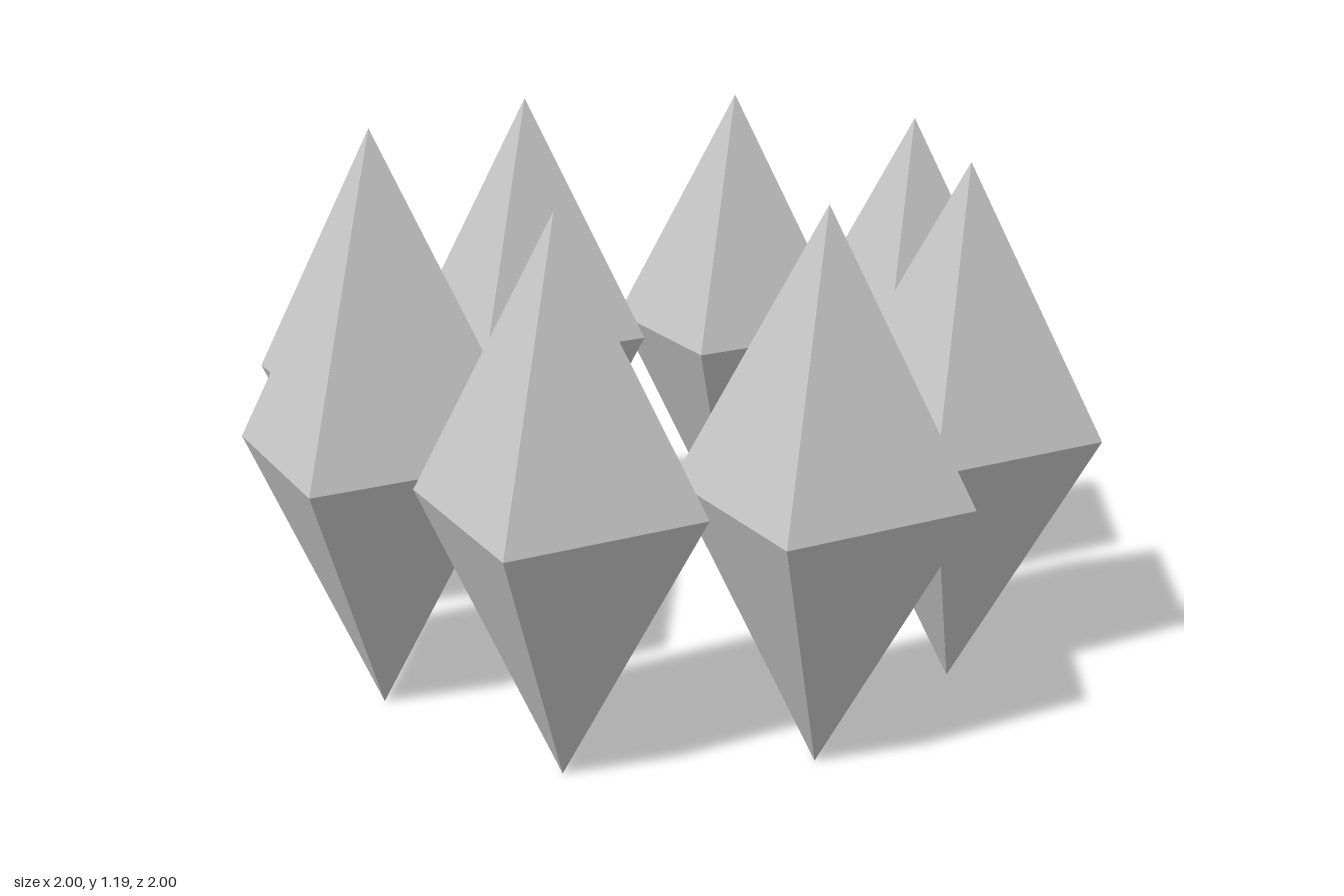
import * as THREE from 'three';

export function createModel() {
  const group = new THREE.Group();
  group.name = 'crystalRing';
  const grey = new THREE.MeshStandardMaterial({ color: 0xc8c8c8 });
  grey.name = 'light grey';

  // one tall octahedral crystal, resting on its lower tip
  const halfWidth = 0.31, halfHeight = 0.594, ringRadius = 0.69, count = 8;
  const crystal = new THREE.OctahedronGeometry(1, 0);
  crystal.scale(halfWidth, halfHeight, halfWidth);
  crystal.computeVertexNormals();

  // ring of crystals, all keeping the same orientation
  for (let i = 0; i < count; i++) {
    const angle = (i / count) * Math.PI * 2;
    const mesh = new THREE.Mesh(crystal, grey);
    mesh.name = `crystal${i + 1}`;
    mesh.position.set(Math.cos(angle) * ringRadius, halfHeight, Math.sin(angle) * ringRadius);
    group.add(mesh);
  }
  return group;
}
